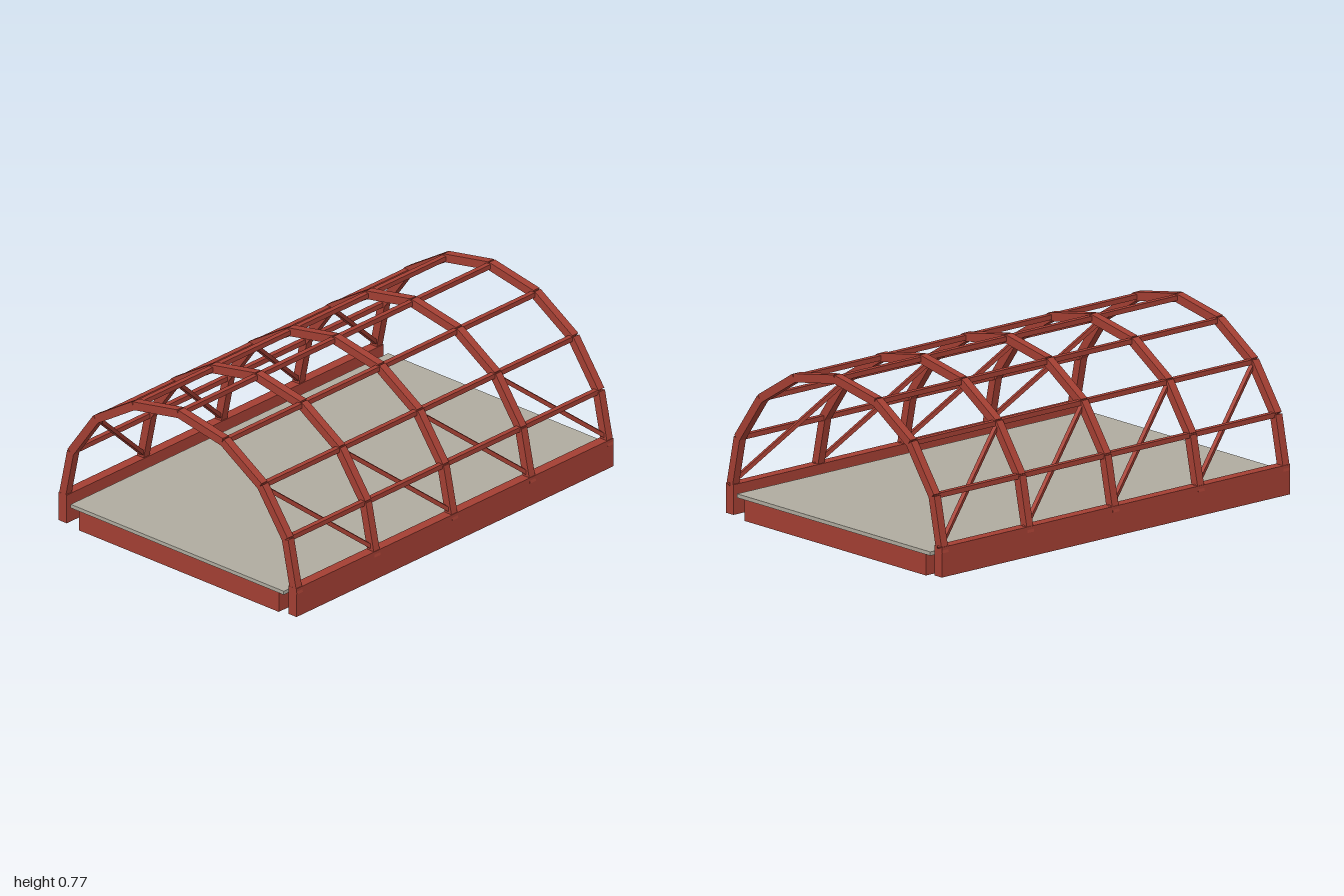
import * as THREE from 'three';

const steel = new THREE.MeshStandardMaterial({ color: 0xa43f33 });
steel.name = 'red painted steel';
const concrete = new THREE.MeshStandardMaterial({ color: 0xb0aca0 });
concrete.name = 'grey deck';

const FRAME_Z = [-0.974, -0.487, 0, 0.487, 0.974];
const SEGMENTS = 8;
const RADIUS_X = 0.674, RISE = 0.63, SPRING_Y = 0.118;

// Joints of the half-elliptical arch, from the -x foot to the +x foot
const joints = Array.from({ length: SEGMENTS + 1 }, (_, i) => {
  const a = -Math.PI / 2 + (i * Math.PI) / SEGMENTS;
  return new THREE.Vector2(RADIUS_X * Math.sin(a), SPRING_Y + RISE * Math.cos(a));
});

function box(name, w, h, d, x, y, z, material = steel) {
  const mesh = new THREE.Mesh(new THREE.BoxGeometry(w, h, d), material);
  mesh.name = name;
  mesh.position.set(x, y, z);
  return mesh;
}

// Square bar running from a to b
function bar(name, a, b, size) {
  const mesh = box(name, size, size, a.distanceTo(b), 0, 0, 0);
  mesh.position.copy(a).add(b).multiplyScalar(0.5);
  mesh.lookAt(b);
  return mesh;
}

// One faceted arch of straight bars butted joint to joint
function arch(z) {
  const group = new THREE.Group();
  group.name = 'archFrame';
  for (let i = 0; i < SEGMENTS; i++) {
    const p = joints[i], q = joints[i + 1];
    const mesh = box('archSegment', p.distanceTo(q), 0.038, 0.037, (p.x + q.x) / 2, (p.y + q.y) / 2, 0);
    mesh.rotation.z = Math.atan2(q.y - p.y, q.x - p.x);
    group.add(mesh);
  }
  group.position.z = z;
  return group;
}

export function createModel() {
  const model = new THREE.Group();
  model.name = 'archedBridgeFrame';

  // Base slab and the deck lying on it
  model.add(box('basePlatform', 1.16, 0.097, 1.97, 0, 0.0485, 0));
  model.add(box('deck', 1.236, 0.017, 1.99, 0, 0.1055, 0, concrete));

  // Arches
  FRAME_Z.forEach((z) => model.add(arch(z)));

  // Lengthwise purlins through every joint above the feet
  for (let i = 1; i < SEGMENTS; i++) {
    model.add(box('purlin', 0.023, 0.022, 1.95, joints[i].x, joints[i].y, 0));
  }

  for (const side of [-1, 1]) {
    // Bottom side girder
    model.add(box('sideGirder', 0.047, 0.133, 1.986, side * 0.6665, 0.0815, 0));

    // Diagonal braces, one per bay, high at the front and low at the back
    for (let i = 0; i < FRAME_Z.length - 1; i++) {
      const low = new THREE.Vector3(side * 0.674, 0.14, FRAME_Z[i] - 0.018);
      const high = new THREE.Vector3(side * 0.475, 0.564, FRAME_Z[i + 1] + 0.008);
      model.add(bar('diagonalBrace', low, high, 0.018));
    }
  }
  return model;
}
